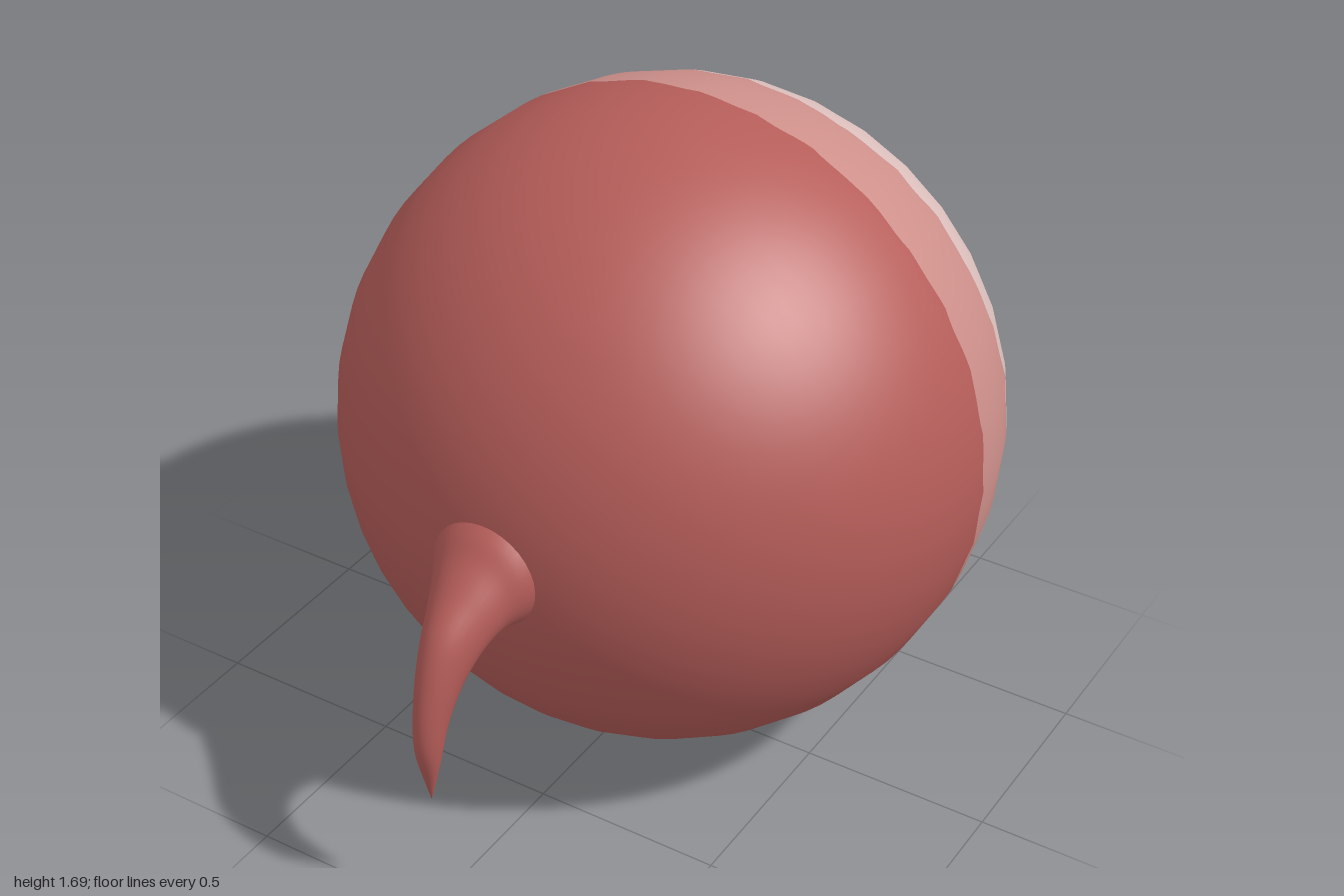
import * as THREE from 'three';

const R = 0.8475, CY = 0.8475, CZ = -0.12, SIDES = 32, COLS = SIDES * 6;

const mat = (name, color) => {
  const m = new THREE.MeshStandardMaterial({ color });
  m.name = name;
  return m;
};

// Closed tube of rows x cols points; point(u, angle) gives position, normal(u, angle) is optional
function gridGeometry(rows, cols, point, normal) {
  const pos = [], nor = [], idx = [];
  for (let i = 0; i <= rows; i++) {
    for (let j = 0; j < cols; j++) {
      const a = (j / cols) * Math.PI * 2;
      pos.push(...point(i / rows, a));
      if (normal) nor.push(...normal(i / rows, a));
      if (i === rows) continue;
      const k = (j + 1) % cols, p = i * cols, q = p + cols;
      idx.push(p + j, q + j, q + k, p + j, q + k, p + k);
    }
  }
  const g = new THREE.BufferGeometry();
  g.setAttribute('position', new THREE.Float32BufferAttribute(pos, 3));
  g.setIndex(idx);
  if (normal) g.setAttribute('normal', new THREE.Float32BufferAttribute(nor, 3));
  else g.computeVertexNormals();
  return g;
}

// Eyeball profile by polar angle from +z: a sphere, slightly flattened before the bulging cornea
function profile(phi) {
  const back = (Math.PI - phi) / 0.56;
  let s = R;
  if (back < 1) s += 0.034 * (1 - back * back);
  s -= 0.012 * Math.exp(-(((back - 1.4) / 0.25) ** 2));
  return [s * Math.sin(phi), CZ + s * Math.cos(phi)];
}

// Distance factor that turns the round section into a 32-sided one
function facet(a) {
  const step = (Math.PI * 2) / SIDES;
  const d = (((a % step) + step) % step) - step / 2;
  return Math.cos(step / 2) / Math.cos(d);
}

// Irregular edge of a tissue band
const ragged = (a, k) => 0.005 * Math.sin(9 * a + k) + 0.004 * Math.sin(23 * a + 2 * k) + 0.003 * Math.sin(41 * a + 5 * k);
const toPhi = z => Math.acos((z - CZ) / R);

// Band edges as polar angles
const edges = [
  () => 0,
  a => {
    const s = Math.sin(a);
    return toPhi(-0.217 + 0.022 * Math.cos(a) - 0.02 * s + 0.2 * Math.max(0, -s - 0.8) + 0.5 * ragged(a, 1));
  },
  a => {
    const s = Math.sin(a);
    return toPhi(-0.475 + 0.015 * Math.cos(a) + 0.015 * Math.max(0, s) + 0.065 * Math.max(0, -s) + ragged(a, 3));
  },
  a => Math.PI - 0.562 + 0.01 * Math.cos(a),
  a => Math.PI - 0.243 + 0.006 * Math.sin(3 * a),
  () => Math.PI,
];

function bandGeometry(i, rows) {
  const phiAt = (u, a) => THREE.MathUtils.lerp(edges[i](a), edges[i + 1](a), u);
  const point = (u, a) => {
    const [r, z] = profile(phiAt(u, a));
    const f = r * facet(a);
    return [f * Math.cos(a), CY + f * Math.sin(a), z];
  };
  const normal = (u, a) => {
    const phi = phiAt(u, a), e = 0.01;
    const [r0, z0] = profile(phi - e), [r1, z1] = profile(phi + e);
    const l = Math.hypot(r1 - r0, z1 - z0);
    const nr = (z0 - z1) / l;
    return [nr * Math.cos(a), nr * Math.sin(a), (r1 - r0) / l];
  };
  return gridGeometry(rows, COLS, point, normal);
}

// Optic nerve: upper and lower outlines (half width, y, z), from the tip back into the ball
function nerveGeometry() {
  const v = p => new THREE.Vector3(...p);
  const upper = new THREE.CatmullRomCurve3([
    [0.001, 0.335, 0.963], [0.012, 0.39, 0.976], [0.03, 0.51, 1.0], [0.043, 0.65, 0.98],
    [0.06, 0.78, 0.925], [0.085, 0.865, 0.84], [0.108, 0.92, 0.78], [0.133, 0.968, 0.735], [0.17, 1.02, 0.66],
  ].map(v));
  const lower = new THREE.CatmullRomCurve3([
    [0, 0.334, 0.962], [0, 0.37, 0.955], [0, 0.43, 0.94], [0, 0.53, 0.912],
    [0, 0.61, 0.872], [0, 0.68, 0.82], [0, 0.708, 0.77], [0, 0.71, 0.735], [0, 0.68, 0.66],
  ].map(v));
  return gridGeometry(40, 32, (u, a) => {
    const p = upper.getPoint(u), q = lower.getPoint(u);
    const t = (1 + Math.sin(a)) / 2;
    return [
      p.x * Math.cos(a),
      THREE.MathUtils.lerp(q.y, p.y, t),
      THREE.MathUtils.lerp(q.z, p.z, t),
    ];
  });
}

export function createModel() {
  const group = new THREE.Group();
  group.name = 'eyeball';
  const red = mat('muscle red', 0xb55d59);
  const add = (name, geometry, material) => {
    const m = new THREE.Mesh(geometry, material);
    m.name = name;
    group.add(m);
  };

  // Bands from the nerve side to the pupil
  [
    ['redTissue', red, 24],
    ['pinkTissue', mat('tissue pink', 0xcd8f8a), 6],
    ['eyeWhite', mat('eye white', 0xdbbfbc), 12],
    ['iris', mat('iris slate', 0x2f3f47), 8],
    ['pupil', mat('pupil black', 0x0a0a0a), 5],
  ].forEach(([name, material, rows], i) => add(name, bandGeometry(i, rows), material));

  // Curved, tapering nerve
  add('opticNerve', nerveGeometry(), red);
  return group;
}
